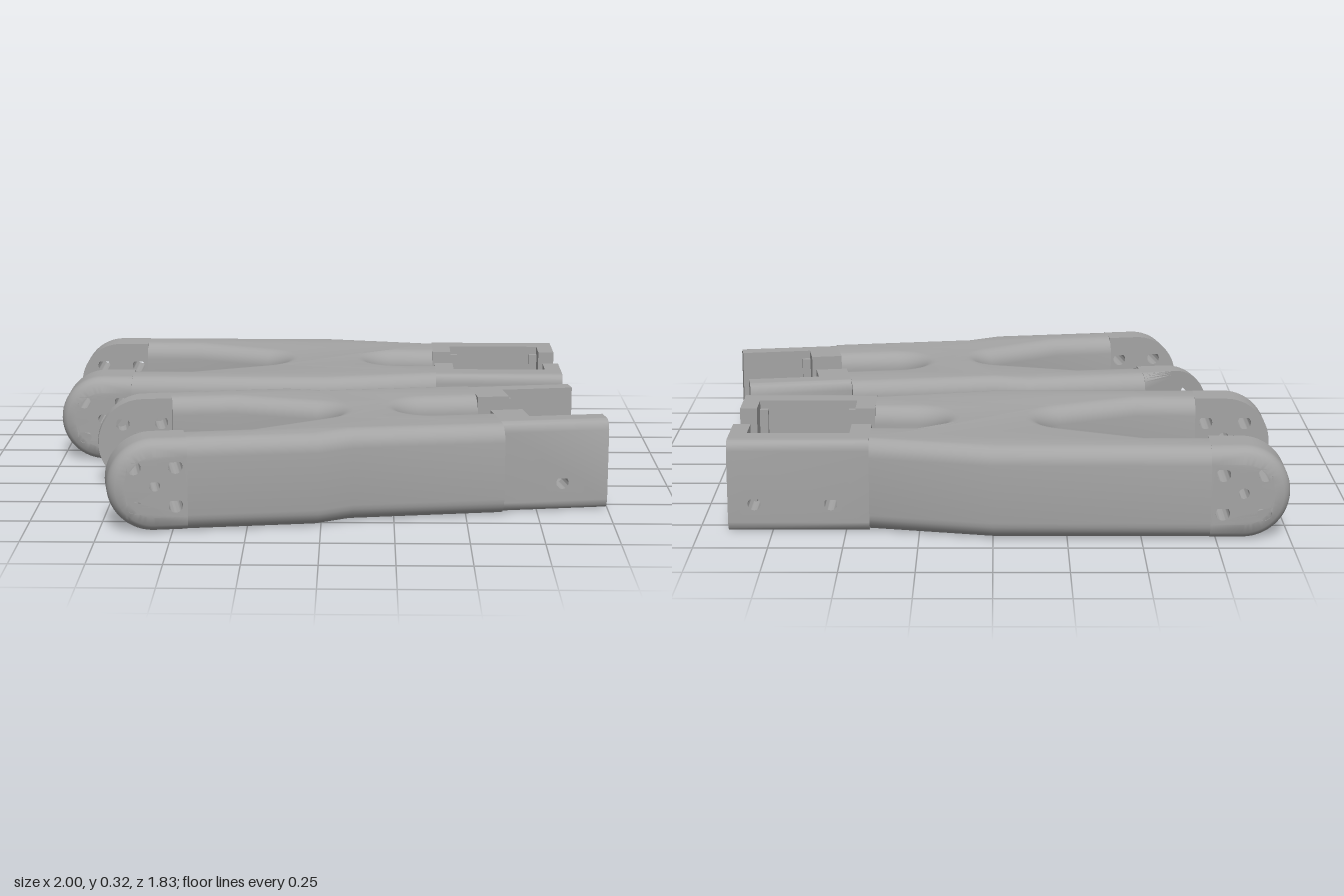
import * as THREE from 'three';
import { toCreasedNormals } from 'three/addons/utils/BufferGeometryUtils.js';

const H = 0.32, MID = H / 2;
const grey = new THREE.MeshStandardMaterial({ color: 0xa4a4a4 });
grey.name = 'grey plastic';

function add(parent, name, geometry) {
  const mesh = new THREE.Mesh(geometry, grey);
  mesh.name = name;
  parent.add(mesh);
  return mesh;
}

function box(parent, name, x0, x1, y0, y1, z0, z1) {
  const g = new THREE.BoxGeometry(x1 - x0, y1 - y0, Math.abs(z1 - z0));
  g.translate((x0 + x1) / 2, (y0 + y1) / 2, (z0 + z1) / 2);
  return add(parent, name, g);
}

const circle = (x, y, r) => new THREE.Path().absarc(x, y, r, 0, Math.PI * 2, true);

// teardrop screw hole with its point upwards
function teardrop(x, y, r) {
  const p = new THREE.Path();
  p.moveTo(x, y + r * 1.5);
  p.absarc(x, y, r, Math.PI * 0.75, Math.PI * 2.25, false);
  p.closePath();
  return p;
}

// recess for a lever: a round head above a straight slot
function keyhole(x) {
  const p = new THREE.Path();
  p.moveTo(x - 0.03, 0.04);
  p.lineTo(x + 0.03, 0.04);
  p.lineTo(x + 0.03, 0.17);
  p.absarc(x, 0.17, 0.036, 0, Math.PI, false);
  p.lineTo(x - 0.03, 0.17);
  p.closePath();
  return p;
}

// upright slab from distance vIn to vOut off the axis, rounded along its outer edge;
// "limit" trims its outer face
function slab({ x0, x1, vIn, vOut, side, round = 0, cap = false, holes = [], limit = null }) {
  const cx = cap ? x0 + MID : x0;
  const s = new THREE.Shape();
  s.moveTo(x1, 0);
  s.lineTo(x1, H);
  s.lineTo(cx, H);
  if (cap) s.absarc(cx, MID, MID, Math.PI / 2, Math.PI * 1.5, false);
  else s.lineTo(cx, 0);
  s.closePath();
  s.holes = holes;
  const t = vOut - vIn;
  const geo = new THREE.ExtrudeGeometry(s, { depth: t, steps: round ? 14 : 1, bevelEnabled: false, curveSegments: 20 });
  const p = geo.attributes.position;
  for (let i = 0; i < p.count; i++) {
    let x = p.getX(i), y = p.getY(i), z = p.getZ(i);
    const ax = Math.max(x, cx), d = Math.hypot(x - ax, y - MID);
    if (round && d > MID - 0.006) {
      const k = Math.max(0, z - (t - round));
      const f = 1 - (round - Math.sqrt(Math.max(0, round * round - k * k))) / MID;
      x = ax + (x - ax) * f;
      y = MID + (y - MID) * f;
    }
    let v = vIn + z;
    if (limit) v = Math.min(v, limit(x));
    p.setXYZ(i, x, y, v * side);
  }
  // mirrored copies need their corner order reversed
  if (side < 0) {
    const a = p.array;
    for (let i = 0; i < a.length; i += 9) {
      for (let k = 0; k < 3; k++) [a[i + 3 + k], a[i + 6 + k]] = [a[i + 6 + k], a[i + 3 + k]];
    }
  }
  return toCreasedNormals(geo, 0.6);
}

// forked body: plan outline mirrored about its axis, with rounded long edges
function forkBody(c) {
  const half = [];
  for (let i = 0; i <= 9; i++) {
    const a = (i / 9) * 1.15;
    half.push([c.crotch - c.crotchR * (1 - Math.cos(a)), c.crotchR * Math.sin(a)]);
  }
  half.push(c.knee, [c.start, c.armIn], [c.start, c.armOut], ...c.outer, [c.end, c.slotR]);
  for (let i = 0; i <= 12; i++) {
    const a = Math.PI / 2 * (1 + i / 12);
    half.push([c.slotX + c.slotR * Math.cos(a), c.slotR * Math.sin(a)]);
  }
  half[half.length - 1][1] = 0;
  const mirror = half.slice(1, -1).reverse().map(([x, v]) => [x, -v]);
  const shape = new THREE.Shape([...half, ...mirror].map(([x, v]) => new THREE.Vector2(x, v)));
  const b = 0.06;
  const geo = new THREE.ExtrudeGeometry(shape, {
    depth: H - 2 * b, bevelThickness: b, bevelSize: b, bevelOffset: -b, bevelSegments: 6,
  });
  geo.rotateX(Math.PI / 2);
  geo.translate(0, H - b, 0);
  // flat ends where the body meets the tips and the tray
  const p = geo.attributes.position;
  for (let i = 0; i < p.count; i++) {
    const x = p.getX(i);
    if (x < c.start + b + 0.002) p.setX(i, c.start);
    if (x > c.end - b - 0.002) p.setX(i, c.end);
  }
  return toCreasedNormals(geo, 0.6);
}

function link(name, c) {
  const g = new THREE.Group();
  g.name = name;
  add(g, 'forkBody', forkBody(c));
  const cx = c.tip + MID;

  for (const side of [1, -1]) {
    // round arm tips with screw holes and an inner lever recess
    const screws = () => [-0.07, 0.07].flatMap(dx => [0.095, 0.23].map(y => teardrop(cx + dx, y, 0.024)));
    const limit = side < 0 ? c.trim : null;
    const common = { x0: c.tip, x1: c.start, side, cap: true, limit };
    const step = c.tipIn + 0.035;
    add(g, 'armTip', slab({
      ...common, vIn: step, vOut: c.armOut, round: 0.055,
      holes: [...screws(), circle(cx, 0.165, 0.018)],
    }));
    add(g, 'tipRecessPlate', slab({ ...common, vIn: c.tipIn, vOut: step, holes: [...screws(), keyhole(cx)] }));

    // tray side walls, posts and inner ribs
    add(g, 'trayWall', slab({
      x0: c.end, x1: c.trayEnd, vIn: c.wallIn, vOut: c.wallOut, side, round: 0.035,
      holes: c.wallHoles.map(x => teardrop(x, 0.1, 0.022)),
    }));
    box(g, 'trayPost', c.end, c.postEnd, 0, H, side * c.slotR, side * (c.wallIn + 0.01));
    box(g, 'trayRib', c.postEnd, c.postEnd + 0.03, 0, H - 0.03, side * (c.wallIn - 0.02), side * (c.wallIn + 0.01));
    if (c.endWall) {
      box(g, 'trayEndWall', c.trayEnd - c.endWall, c.trayEnd, 0, H, side * c.slotR, side * (c.wallIn + 0.01));
      const rx = c.trayEnd - c.endWall;
      box(g, 'trayRib', rx - 0.03, rx, 0, H - 0.03, side * (c.wallIn - 0.02), side * (c.wallIn + 0.01));
    }
  }

  // tray floor with diamond vents
  const w = c.wallIn + 0.01;
  const floor = new THREE.Shape([[c.floorStart, -w], [c.trayEnd, -w], [c.trayEnd, w], [c.floorStart, w]]
    .map(q => new THREE.Vector2(...q)));
  const r = 0.033;
  for (const x of c.ventX) {
    for (const v of [-0.165, -0.055, 0.055, 0.165]) {
      floor.holes.push(new THREE.Path([[x + r, v], [x, v - r], [x - r, v], [x, v + r]]
        .map(q => new THREE.Vector2(...q))));
    }
  }
  const floorGeo = new THREE.ExtrudeGeometry(floor, { depth: 0.062, bevelEnabled: false });
  floorGeo.rotateX(Math.PI / 2);
  floorGeo.translate(0, 0.062, 0);
  add(g, 'trayFloor', floorGeo);

  // small ring boss on one arm
  const ring = new THREE.Shape().absellipse(0, 0, 0.07, 0.09, 0, Math.PI * 2, false);
  ring.holes.push(circle(0, 0, 0.035));
  const boss = new THREE.ExtrudeGeometry(ring, { depth: 0.08, bevelEnabled: false, curveSegments: 20 });
  boss.translate(c.bossX, MID, c.bossSide > 0 ? c.bossV - 0.08 : -c.bossV);
  add(g, 'armBoss', toCreasedNormals(boss, 0.6));
  return g;
}

export function createModel() {
  const model = new THREE.Group();
  model.name = 'linkPair';

  const large = link('largeLink', {
    tip: -1, start: -0.73, tipIn: 0.25, armIn: 0.23, armOut: 0.42,
    crotch: -0.17, crotchR: 0.12, knee: [-0.52, 0.23],
    outer: [[0, 0.42], [0.37, 0.33], [0.42, 0.33]], end: 0.42,
    slotX: 0.28, slotR: 0.105,
    trayEnd: 0.9, postEnd: 0.49, wallIn: 0.22, wallOut: 0.33, endWall: 0.06,
    wallHoles: [0.55, 0.81], floorStart: 0.42, ventX: [0.5, 0.6, 0.705, 0.81],
    bossX: -0.56, bossV: 0.47, bossSide: 1,
  });
  large.position.set(0, 0, -0.5);

  const small = link('smallLink', {
    tip: -0.715, start: -0.445, tipIn: 0.246, armIn: 0.224, armOut: 0.398,
    crotch: 0.12, crotchR: 0.1, knee: [-0.22, 0.22],
    outer: [[0, 0.4], [0.126, 0.35], [0.655, 0.35]], end: 0.655,
    slotX: 0.46, slotR: 0.105,
    trayEnd: 1.032, postEnd: 0.77, wallIn: 0.215, wallOut: 0.31, endWall: 0,
    wallHoles: [0.87], floorStart: 0.705, ventX: [0.79, 0.92],
    bossX: -0.33, bossV: 0.455, bossSide: -1,
    trim: x => 0.27 + (x + 0.715) * 0.45,
  });
  small.position.set(-0.07, 0, 0.416);
  small.rotation.y = 0.16;

  model.add(large, small);
  return model;
}
